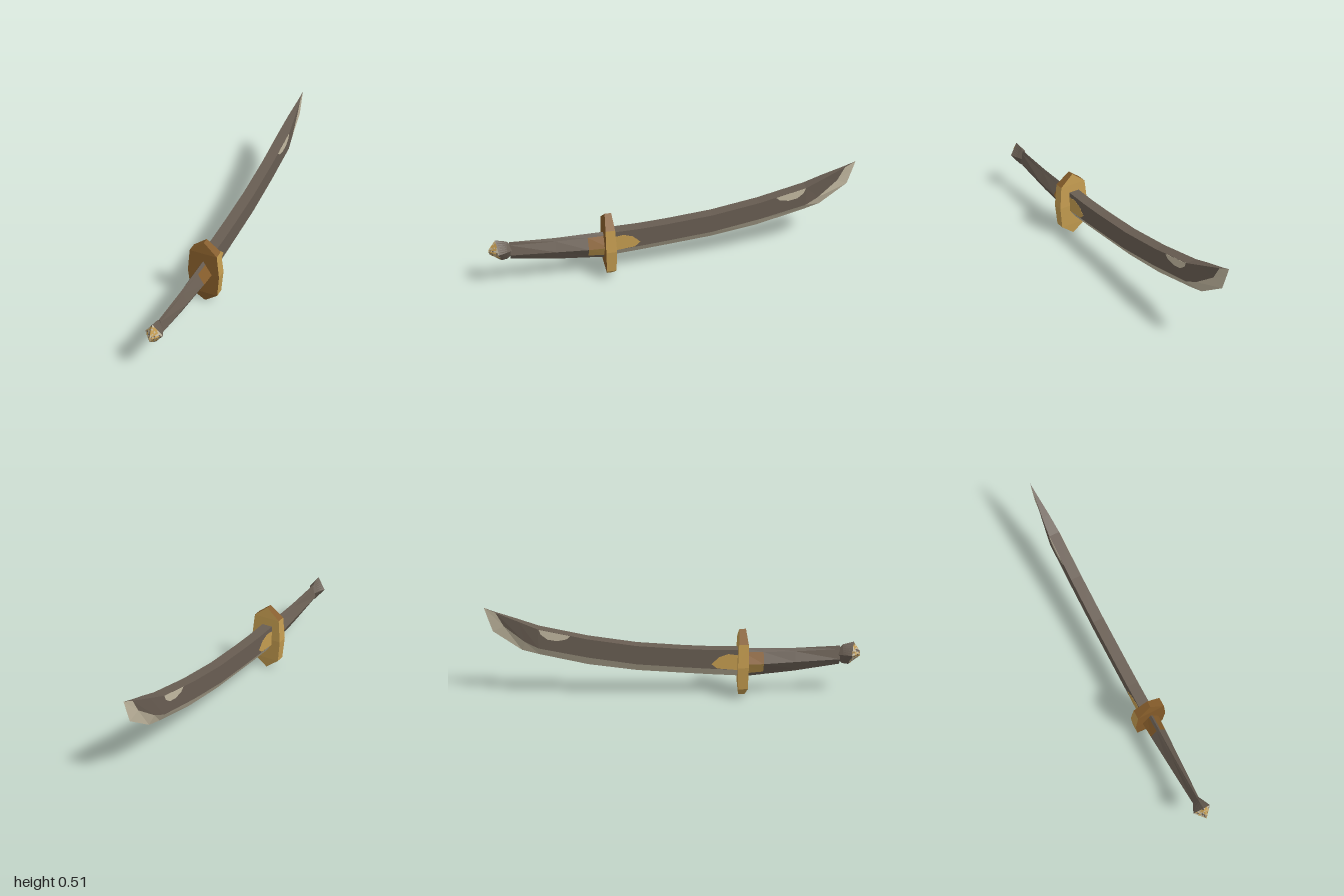
import * as THREE from 'three';

const mat = (name, color, side = THREE.FrontSide) => {
  const m = new THREE.MeshStandardMaterial({ color, side });
  m.name = name;
  return m;
};
const STEEL = 0, PALE = 1, GOLD = 2, BRONZE = 3;

// Flat-faced skin over rings; rings run clockwise seen from the first one. pick(row, col) gives the colour.
function loft(name, rings, materials, pick, caps = []) {
  const buckets = materials.map(() => []);
  const tri = (a, b, c, m) => {
    const [p, q, r] = [a, b, c].map(v => new THREE.Vector3(...v));
    if (q.clone().sub(p).cross(r.clone().sub(p)).length() > 1e-8) buckets[m].push(...a, ...b, ...c);
  };
  const n = rings[0].length;
  for (let i = 0; i < rings.length - 1; i++) {
    for (let j = 0; j < n; j++) {
      const k = (j + 1) % n, m = pick(i, j);
      tri(rings[i][j], rings[i][k], rings[i + 1][k], m);
      tri(rings[i][j], rings[i + 1][k], rings[i + 1][j], m);
    }
  }
  const last = rings[rings.length - 1];
  for (let j = 1; j < n - 1 && caps.length; j++) {
    tri(rings[0][0], rings[0][j + 1], rings[0][j], caps[0]);
    tri(last[0], last[j], last[j + 1], caps[1]);
  }
  const geo = new THREE.BufferGeometry();
  geo.setAttribute('position', new THREE.Float32BufferAttribute(buckets.flat(), 3));
  let start = 0;
  buckets.forEach((b, m) => {
    if (b.length) geo.addGroup(start, b.length / 3, m);
    start += b.length / 3;
  });
  geo.computeVertexNormals();
  const mesh = new THREE.Mesh(geo, materials);
  mesh.name = name;
  return mesh;
}

// Kite ring: top, left, bottom and right corners, each side cut at the given fractions.
function kite(corners, cuts) {
  const out = [];
  corners.forEach((c, i) => {
    const d = corners[(i + 1) % 4];
    // cuts are measured from the side corners (odd ones)
    const ts = i % 2 ? cuts : cuts.map(t => 1 - t).reverse();
    [0, ...ts].forEach(t => out.push(c.map((v, k) => v + (d[k] - v) * t)));
  });
  return out;
}
const diamond = (z, top, mid, bottom, w, tilt = 0) =>
  [[0, top, z + tilt], [w, mid, z], [0, bottom, z - tilt], [-w, mid, z]];

export function createModel() {
  const group = new THREE.Group();
  const materials = [
    mat('dark steel', 0x685d52), mat('pale steel', 0xc2b8a0),
    mat('gold', 0xc49c50), mat('bronze', 0x855c2a),
  ];

  // Curved blade: [spine z, y, bevel z, y, edge z, y, half width]
  const cx = -0.005;
  const stations = [
    [0.36, 0.275, 0.36, 0.160, 0.36, 0.115, 0.03],
    [0.20, 0.276, 0.20, 0.168, 0.20, 0.124, 0.03],
    [0.05, 0.283, 0.05, 0.178, 0.05, 0.134, 0.03],
    [-0.20, 0.302, -0.20, 0.197, -0.20, 0.152, 0.03],
    [-0.46, 0.342, -0.46, 0.238, -0.46, 0.188, 0.03],
    [-0.72, 0.400, -0.72, 0.292, -0.72, 0.248, 0.03],
    [-0.82, 0.440, -0.79, 0.325, -0.81, 0.273, 0.021],
    [-0.94, 0.486, -0.90, 0.410, -0.96, 0.380, 0.007],
    [-1.00, 0.512, -0.985, 0.460, -0.96, 0.380, 0],
  ];
  const bladeRings = stations.map(([sz, sy, bz, by, ez, ey, w]) => [
    [cx - w, sy, sz], [cx + w, sy, sz], [cx + w, by, bz],
    [cx, ey, ez], [cx - w, by, bz],
  ]);
  group.add(loft('blade', bladeRings, materials,
    (i, j) => (j === 2 || j === 3 || (i === 7 && j > 0) ? PALE : STEEL)));

  // Thin inlays on both cheeks of the blade, outlined in (z, y)
  const inlay = (name, points, material) => {
    const shape = new THREE.Shape(points.map(([z, y]) => new THREE.Vector2(-z, y)));
    const geo = new THREE.ExtrudeGeometry(shape, { depth: 0.002, bevelEnabled: false });
    geo.rotateY(Math.PI / 2);
    for (const s of [1, -1]) {
      const mesh = new THREE.Mesh(geo, material);
      mesh.name = name + (s > 0 ? 'Left' : 'Right');
      mesh.position.x = cx + s * 0.03 - 0.001;
      group.add(mesh);
    }
  };
  inlay('rootInlay', [[0.34, 0.16], [0.34, 0.245], [0.29, 0.252], [0.24, 0.235], [0.2, 0.195], [0.23, 0.17]],
    materials[GOLD]);
  inlay('spineInlay', [[-0.55, 0.361], [-0.57, 0.343], [-0.62, 0.333], [-0.67, 0.342], [-0.705, 0.37], [-0.715, 0.398]],
    materials[PALE]);

  // Guard: thick plate, thinner toward its pointed ends: [y, half width, front z, back z]
  const guardRings = [
    [0.383, 0, 0.383, 0.348], [0.32, 0.076, 0.394, 0.343], [0.192, 0.088, 0.396, 0.338],
    [0.065, 0.076, 0.394, 0.343], [0.003, 0, 0.383, 0.348],
  ].map(([y, w, f, b]) => [[-w, y, f], [-w, y, b], [w, y, b], [w, y, f]]);
  group.add(loft('guard', guardRings, materials,
    (i, j) => (j === 3 || (i === 0 && j !== 1) ? BRONZE : GOLD)));

  // Handle with a metal collar along the side ridges next to the guard
  const handleRings = [
    [0.89, 0.283, 0.212, 0.178, 0.021], [0.65, 0.272, 0.203, 0.14, 0.034],
    [0.48, 0.272, 0.196, 0.121, 0.043], [0.37, 0.272, 0.195, 0.108, 0.048],
  ].map(r => kite(diamond(...r), [0.75]));
  const collar = [STEEL, BRONZE, GOLD, STEEL, STEEL, GOLD, BRONZE, STEEL];
  group.add(loft('handle', handleRings, materials,
    (i, j) => (i === 2 ? collar[j] : STEEL), [STEEL, STEEL]));

  // Pommel: pointed diamond with a speckled front and a plain back
  const tip = diamond(1, 0.25, 0.24, 0.225, 0.003);
  const girdle = diamond(0.95, 0.305, 0.24, 0.176, 0.048, 0.012);
  const neck = diamond(0.88, 0.262, 0.235, 0.208, 0.014);
  const back = diamond(0.905, 0.29, 0.238, 0.182, 0.027);
  const rows = 8, cuts = [1, 2, 3, 4, 5].map(k => k / 6);
  const pommelRings = [];
  for (let i = 0; i <= rows; i++) {
    pommelRings.push(kite(tip.map((p, c) => p.map((v, k) => v + (girdle[c][k] - v) * i / rows)), cuts));
  }
  pommelRings.push(kite(back, cuts), kite(neck, cuts));
  let seed = 7;
  const rand = () => (seed = (seed * 16807) % 2147483647) / 2147483647;
  const speckle = [PALE, GOLD, STEEL, PALE, GOLD];
  group.add(loft('pommel', pommelRings, materials,
    i => (i < rows ? speckle[Math.floor(rand() * 5)] : STEEL), [GOLD, STEEL]));

  return group;
}
